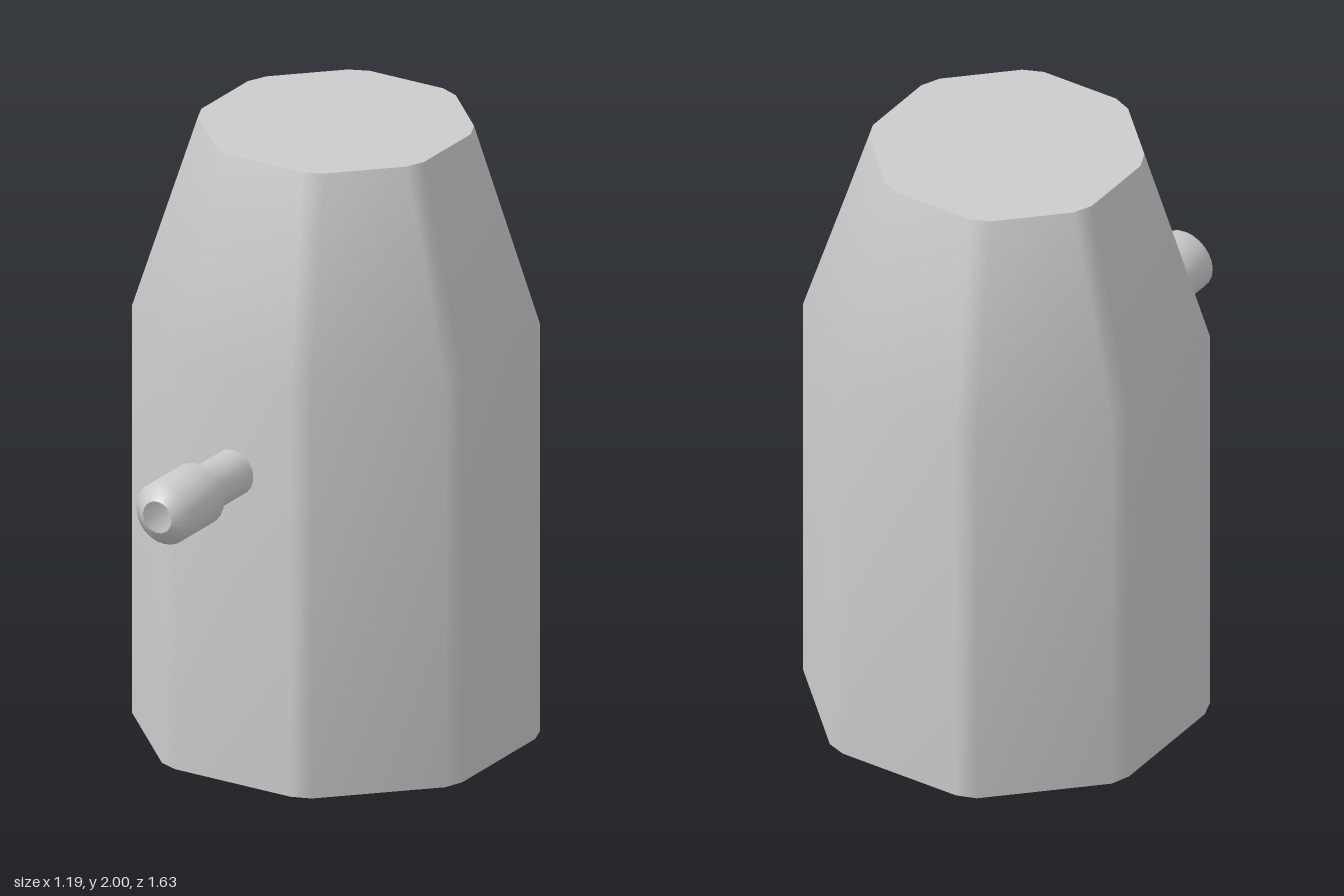
import * as THREE from 'three';

const material = new THREE.MeshStandardMaterial({ color: 0xcccccc, side: THREE.DoubleSide });
const BODY_Z = -0.217;

// Octagon with bevelled corners: a, b are the half-length and depth of the first two corners
function octagonRing(half, a, bx, bz) {
  const corners = [[half, -a], [half, a], [bz, bx], [bx, bz]];
  const ring = [];
  for (let q = 0; q < 4; q++) {
    const c = Math.round(Math.cos(q * Math.PI / 2)), s = Math.round(Math.sin(q * Math.PI / 2));
    for (const [x, z] of corners) ring.push([x * c - z * s, x * s + z * c]);
  }
  return ring;
}

// Smooth walls lofted between rings
function loft(levels) {
  const n = levels[0].ring.length, positions = [], index = [];
  for (const { y, ring } of levels) for (const [x, z] of ring) positions.push(x, y, z);
  for (let l = 0; l < levels.length - 1; l++) {
    for (let i = 0; i < n; i++) {
      const a = l * n + i, b = l * n + (i + 1) % n;
      index.push(a, a + n, b, b, a + n, b + n);
    }
  }
  const g = new THREE.BufferGeometry();
  g.setAttribute('position', new THREE.Float32BufferAttribute(positions, 3));
  g.setIndex(index);
  g.computeVertexNormals();
  return g;
}

function addMesh(parent, name, geometry) {
  const mesh = new THREE.Mesh(geometry, material);
  mesh.name = name;
  parent.add(mesh);
  return mesh;
}

export function createModel() {
  const group = new THREE.Group();
  const lower = octagonRing(0.595, 0.21, 0.273, 0.573);
  const upper = octagonRing(0.407, 0.134, 0.197, 0.38);

  // Hollow body, open underneath, tapering to the top
  const body = addMesh(group, 'body', loft([
    { y: 0, ring: lower }, { y: 1.355, ring: lower }, { y: 2, ring: upper },
  ]));
  body.position.z = BODY_Z;

  // Flat lid
  const lidShape = new THREE.Shape(upper.map(([x, z]) => new THREE.Vector2(x, -z)));
  const lid = addMesh(group, 'lid', new THREE.ShapeGeometry(lidShape).rotateX(-Math.PI / 2));
  lid.position.set(0, 2, BODY_Z);

  // Open spout: narrow pipe with a wider bevelled nozzle
  const profile = [
    [0.075, 0.375], [0.075, 0.555], [0.102, 0.588], [0.102, 0.775], [0.052, 0.814],
  ].map(([r, z]) => new THREE.Vector2(r, z));
  const spout = addMesh(group, 'spout', new THREE.LatheGeometry(profile, 24).rotateX(Math.PI / 2));
  spout.position.y = 1.035;

  return group;
}
